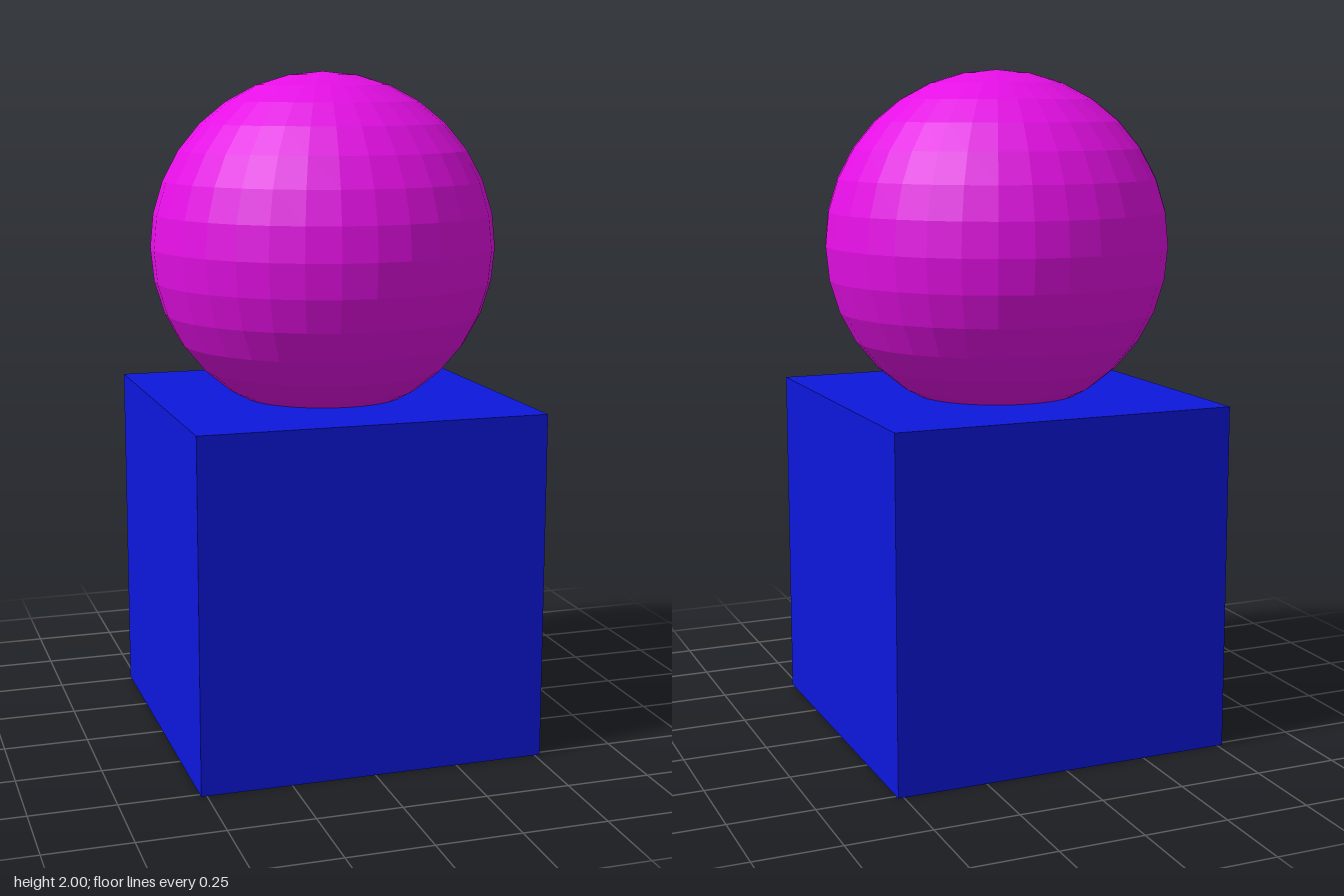
import * as THREE from 'three';

const SIDE = 1.033;
const RADIUS = SIDE / 2;

function part(name, geometry, color, y) {
  const material = new THREE.MeshStandardMaterial({ color, flatShading: true });
  const mesh = new THREE.Mesh(geometry, material);
  mesh.name = name;
  mesh.position.y = y;
  return mesh;
}

export function createModel() {
  const group = new THREE.Group();
  group.name = 'ballOnCube';

  // Cube standing on the ground
  group.add(part('cube', new THREE.BoxGeometry(SIDE, SIDE, SIDE), 0x0d17dc, SIDE / 2));

  // Faceted ball, sunk slightly into the top of the cube
  group.add(part('ball', new THREE.SphereGeometry(RADIUS, 32, 16), 0xe60fe6, 2 - RADIUS));

  return group;
}
